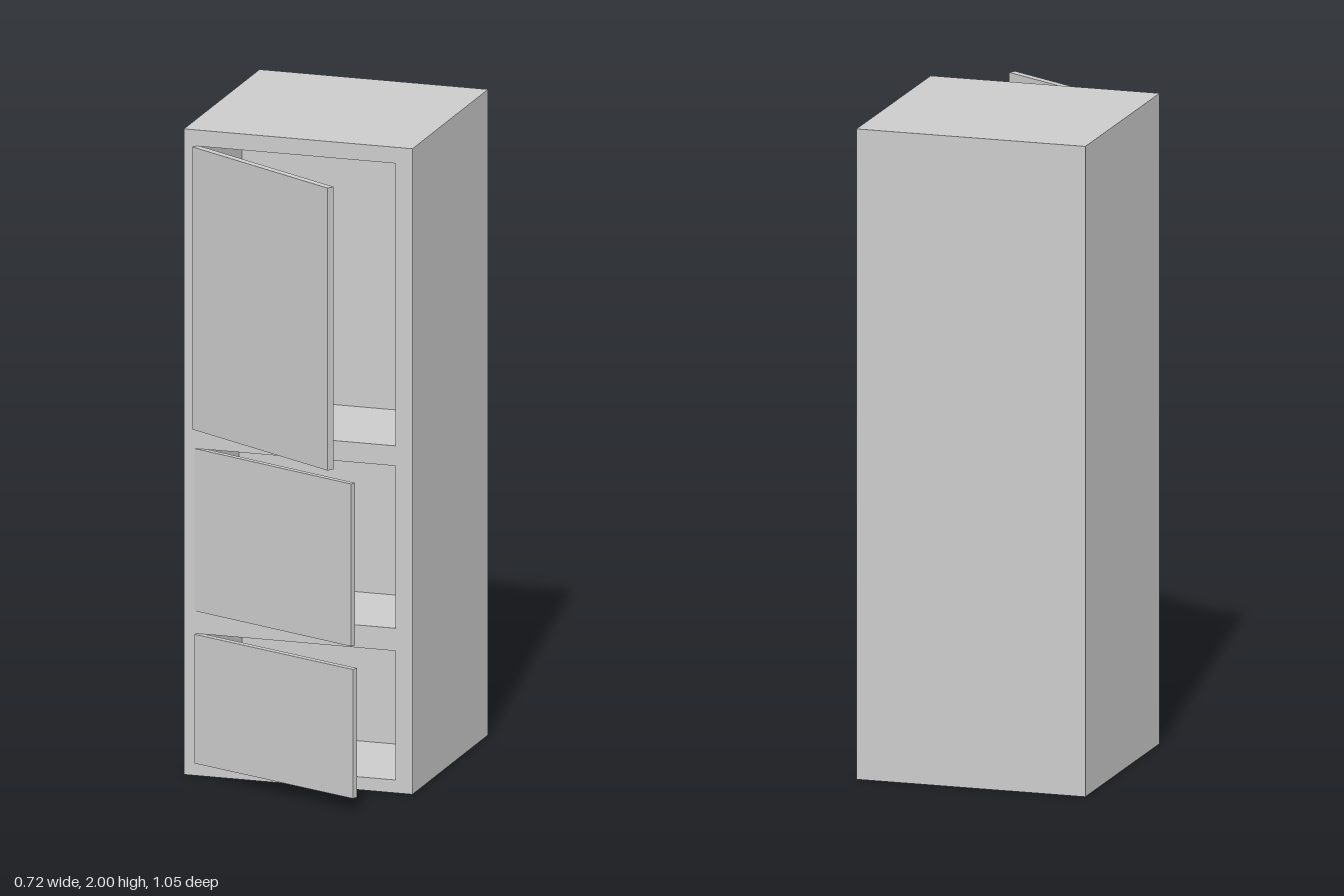
import * as THREE from 'three';

const W = 0.72, H = 2, BACK = -0.525, FRONT = 0.19;
const OPEN_L = -0.307, OPEN_R = 0.307;

// One entry per compartment: vertical range, cavity depth, and its door
const BAYS = [
  { name: 'upper', y0: 1.075, y1: 1.95, depth: 0.39, hinge: [-0.329, 0.203], angle: 30.9, thick: 0.0235 },
  { name: 'middle', y0: 0.51, y1: 1.013, depth: 0.36, hinge: [-0.327, 0.191], angle: 22.5, thick: 0.018 },
  { name: 'lower', y0: 0.04, y1: 0.44, depth: 0.39, hinge: [-0.323, 0.2], angle: 21.9, thick: 0.02 },
];

const material = new THREE.MeshStandardMaterial({ color: 0xcccccc });

function addMesh(parent, name, geometry, x = 0, y = 0, z = 0) {
  const mesh = new THREE.Mesh(geometry, material);
  mesh.name = name;
  mesh.position.set(x, y, z);
  parent.add(mesh);
  return mesh;
}

// Box without its front side
function openBox(w, h, d) {
  const g = new THREE.BoxGeometry(w, h, d);
  const index = Array.from(g.index.array);
  g.setIndex([...index.slice(0, 24), ...index.slice(30)]);
  g.clearGroups();
  return g;
}

// Box seen from the inside, open at the front
function cavity(w, h, d) {
  const g = new THREE.BoxGeometry(w, h, d);
  g.setIndex(Array.from(g.index.array).slice(0, 30));
  g.clearGroups();
  g.scale(1, 1, -1);
  g.computeVertexNormals();
  return g;
}

function rectangle(path, x0, y0, x1, y1) {
  path.moveTo(x0, y0);
  path.lineTo(x1, y0);
  path.lineTo(x1, y1);
  path.lineTo(x0, y1);
  path.closePath();
  return path;
}

export function createModel() {
  const model = new THREE.Group();
  model.name = 'cabinet';

  // Outer shell
  const depth = FRONT - BACK;
  addMesh(model, 'shell', openBox(W, H, depth), 0, H / 2, (FRONT + BACK) / 2);

  // Front frame with three openings
  const face = rectangle(new THREE.Shape(), -W / 2, 0, W / 2, H);
  for (const b of BAYS) face.holes.push(rectangle(new THREE.Path(), OPEN_L, b.y0, OPEN_R, b.y1));
  addMesh(model, 'frontFrame', new THREE.ShapeGeometry(face), 0, 0, FRONT);

  for (const b of BAYS) {
    const h = b.y1 - b.y0, y = (b.y0 + b.y1) / 2;

    // Compartment interior
    addMesh(model, b.name + 'Compartment', cavity(OPEN_R - OPEN_L, h, b.depth),
      (OPEN_L + OPEN_R) / 2, y, FRONT - b.depth / 2);

    // Door swung open about its hinge; the hinge lies on the outer face
    const door = new THREE.BoxGeometry(0.62, h, b.thick);
    door.translate(0.31, 0, -b.thick / 2);
    const mesh = addMesh(model, b.name + 'Door', door, b.hinge[0], y, b.hinge[1]);
    mesh.rotation.y = -THREE.MathUtils.degToRad(b.angle);
  }
  return model;
}
